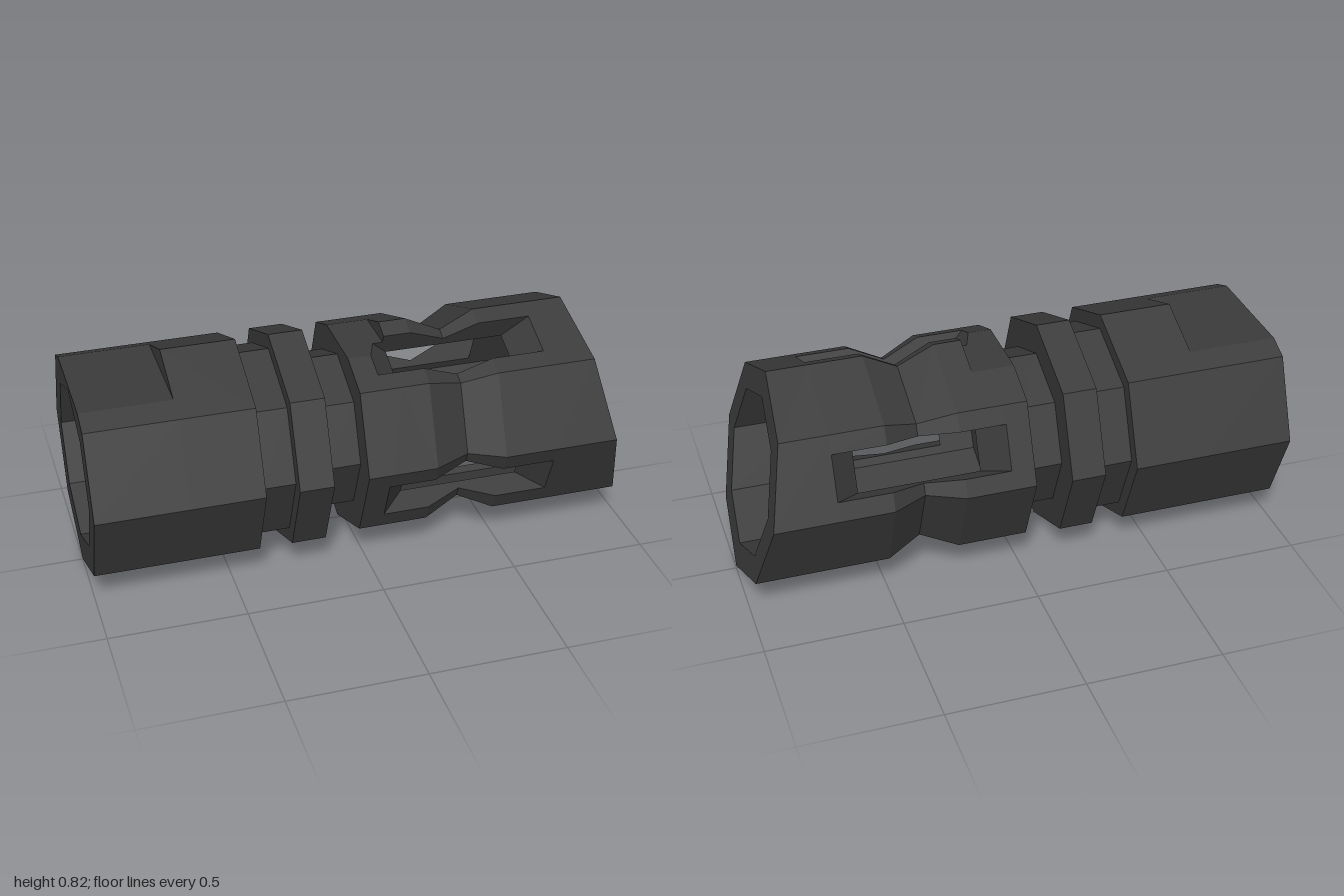
import * as THREE from 'three';

const V = (x, y, z) => new THREE.Vector3(x, y, z);
const C = 0.411;                       // height of the tube axis
const K = Math.PI / 8;                 // half the angle of one octagon side
const SLOT = 0.084;                    // half width of a slot
const THETA = [...Array(8).keys()].map(k => K + k * K * 2);
const isSlotted = k => k % 2 === 1;    // every other side carries a slot

// direction pointing out of side k, and the direction across it
const normal = k => V(0, Math.sin(THETA[k]), Math.cos(THETA[k]));
const across = k => V(0, Math.cos(THETA[k]), -Math.sin(THETA[k]));

// point on side k: a = distance from axis, s = offset across; x null = slanted mouth
function at(k, x, a, s) {
  const p = normal(k).multiplyScalar(a).addScaledVector(across(k), s);
  p.x = x === null ? 0.835 + (0.4 - p.y) * 0.206 : x;
  p.y += C;
  return p;
}

// keep the part of a convex polygon where f >= 0
function clip(poly, f) {
  const out = [];
  poly.forEach((p, i) => {
    const q = poly[(i + 1) % poly.length], a = f(p), b = f(q);
    if (a >= 0) out.push(p);
    if ((a > 0 && b < 0) || (a < 0 && b > 0)) out.push(p.clone().lerp(q, a / (a - b)));
  });
  return out;
}

// add a polygon as a fan, turned to face along the hint
function addFan(list, poly, hint) {
  if (poly.length < 3) return;
  const n = V(0, 0, 0);
  poly.forEach((p, i) => n.add(p.clone().cross(poly[(i + 1) % poly.length])));
  const pts = n.dot(hint) < 0 ? [poly[0], ...poly.slice(1).reverse()] : poly;
  for (let i = 1; i < pts.length - 1; i++) {
    for (const p of [pts[0], pts[i], pts[i + 1]]) list.push(p.x, p.y, p.z);
  }
}

// x ranges of the tube, with the height at which each is planed flat on top
const RANGES = [[-2, -0.67, 0.735], [-0.67, -0.03, 9], [-0.03, 0.13, 0.755], [0.13, 2, 9]];
function add(list, poly, hint) {
  for (const [x0, x1, top] of RANGES) {
    let part = clip(poly, p => p.x - x0);
    part = clip(part, p => x1 - p.x);
    addFan(list, clip(part, p => top - p.y), hint);
  }
}

// sweep a profile of [x, radius, opensSlot] round the eight sides
function octagonSweep(list, profile) {
  for (let k = 0; k < 8; k++) {
    for (let i = 0; i < profile.length - 1; i++) {
      const [x0, r0, open] = profile[i], [x1, r1] = profile[i + 1];
      const a0 = r0 * Math.cos(K), a1 = r1 * Math.cos(K);
      const s0 = r0 * Math.sin(K), s1 = r1 * Math.sin(K);
      const dx = (x1 ?? 0.92) - (x0 ?? 0.92);
      const hint = normal(k).multiplyScalar(dx).add(V(r0 - r1, 0, 0));
      const strip = (b0, e0, b1, e1) => add(list,
        [at(k, x0, a0, b0), at(k, x0, a0, e0), at(k, x1, a1, e1), at(k, x1, a1, b1)], hint);
      if (open && isSlotted(k)) {
        strip(-s0, -SLOT, -s1, -SLOT);
        strip(SLOT, s0, SLOT, s1);
      } else strip(-s0, s0, -s1, s1);
    }
  }
}

export function createModel() {
  const group = new THREE.Group();
  const metal = new THREE.MeshStandardMaterial({ color: 0x3a3a3a });
  metal.name = 'darkMetal';
  function part(name, build) {
    const list = [];
    build(list);
    const g = new THREE.BufferGeometry();
    g.setAttribute('position', new THREE.Float32BufferAttribute(list, 3));
    g.computeVertexNormals();
    const mesh = new THREE.Mesh(g, metal);
    mesh.name = name;
    group.add(mesh);
  }
  const UP = V(0, 1, 0), BACK = V(-1, 0, 0);

  // rear sleeve with its grooves and neck
  part('rearSleeve', list => octagonSweep(list, [
    [-1, 0.302], [-1, 0.411], [-0.4, 0.411], [-0.4, 0.355], [-0.28, 0.355],
    [-0.28, 0.411], [-0.155, 0.411], [-0.155, 0.294], [-0.025, 0.294]]));

  // planed flat on the rear sleeve, with its step
  part('rearFlat', list => {
    const w = (0.822 - 0.735) / Math.tan(K);
    addFan(list, [V(-1, 0.735, -w), V(-1, 0.735, w), V(-0.67, 0.735, w), V(-0.67, 0.735, -w)], UP);
    addFan(list, [V(-0.67, 0.735, -w), V(-0.67, 0.822, 0), V(-0.67, 0.735, w)], BACK);
  });

  // waisted front shroud, open at the slots
  part('frontShroud', list => octagonSweep(list, [
    [-0.025, 0.294], [-0.025, 0.4], [0.06, 0.4, true], [0.23, 0.4, true], [0.365, 0.335, true],
    [0.49, 0.4, true], [0.685, 0.4], [null, 0.4], [null, 0.302]]));

  // planed flat on the shroud, notched where it meets the top slot
  part('frontFlat', list => {
    const y = 0.755, w = (0.811 - y) / Math.tan(K);
    addFan(list, [V(0.092, y, 0.052), V(0.06, y, w), V(-0.025, y, w), V(-0.025, y, -w),
      V(0.13, y, -w), V(0.13, y, 0.052)], UP);
    addFan(list, [V(0.13, y, -w), V(0.13, 0.811, 0), V(0.13, C + 0.3736, 0.0638),
      V(0.13, y, 0.052)], BACK);
  });

  // inner bores and the pierced wall between them
  part('bore', list => octagonSweep(list, [
    [null, 0.302], [0.595, 0.302, true], [0.15, 0.302], [0.02, 0.302], [0.02, 0.158],
    [-0.4, 0.158], [-0.4, 0.302], [-1, 0.302]]));

  // side walls and sloping ends of the four slots
  part('slotWalls', list => {
    const outer = 0.4 * Math.cos(K), waist = 0.335 * Math.cos(K), inner = 0.302 * Math.cos(K);
    const halves = [
      [[0.06, outer], [0.23, outer], [0.365, waist], [0.365, inner], [0.15, inner]],
      [[0.685, outer], [0.49, outer], [0.365, waist], [0.365, inner], [0.595, inner]]];
    for (let k = 1; k < 8; k += 2) {
      for (const half of halves) {
        for (const side of [-1, 1]) {
          add(list, half.map(([x, a]) => at(k, x, a, side * SLOT)), across(k).multiplyScalar(-side));
        }
        const [x0, a0] = half[0], [x1, a1] = half[4];
        add(list, [at(k, x0, a0, -SLOT), at(k, x0, a0, SLOT), at(k, x1, a1, SLOT), at(k, x1, a1, -SLOT)],
          normal(k).add(V(Math.sign(x1 - x0), 0, 0)));
      }
    }
  });

  return group;
}
